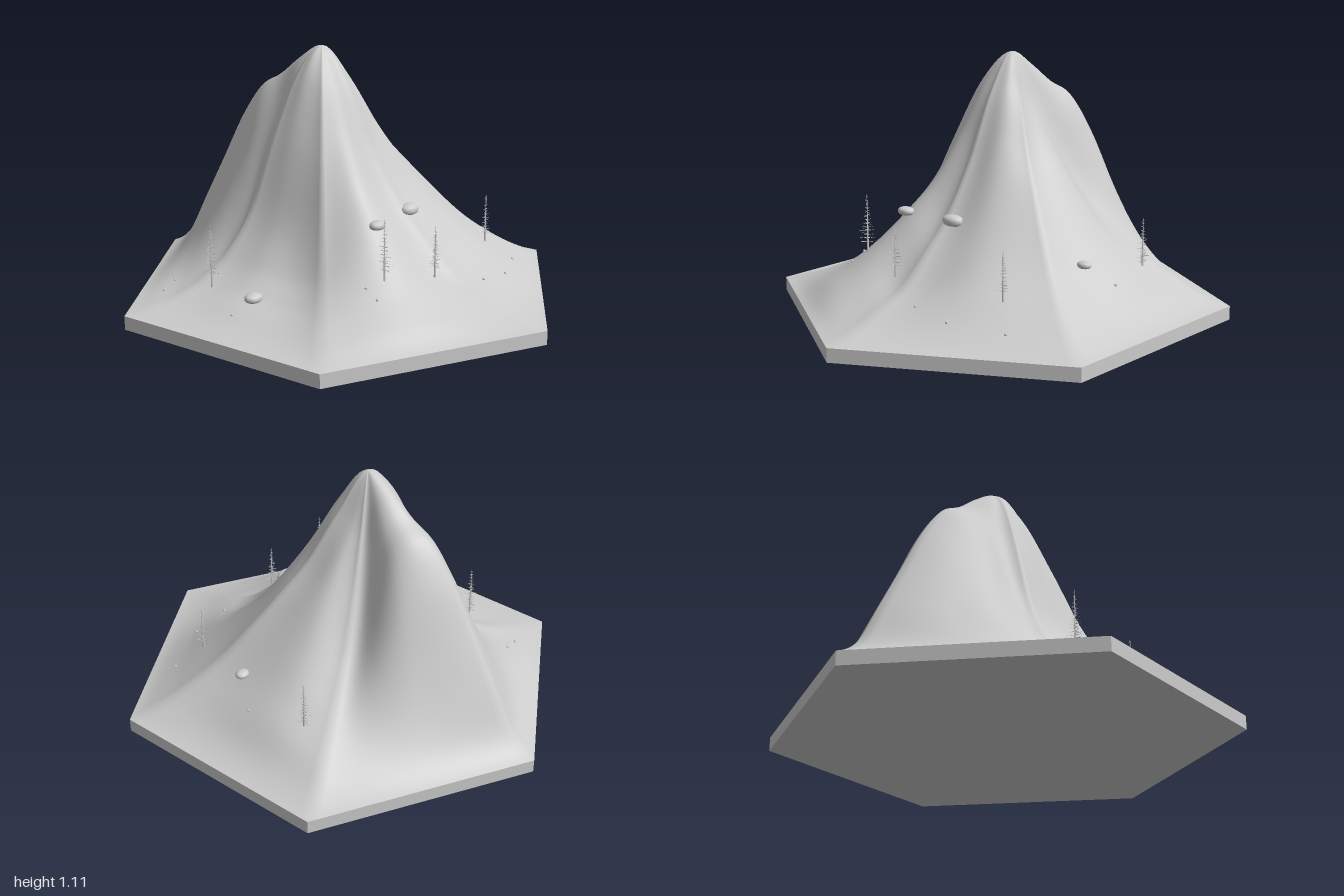
import * as THREE from 'three';
import { mergeGeometries } from 'three/addons/utils/BufferGeometryUtils.js';

const BASE = 0.06, PEAK = 1.11, CX = -0.02, CZ = -0.1;
const APOTHEM = Math.sqrt(3) / 2;

// Ridge profiles every 30 degrees around the summit, from +x towards +z,
// each going from the summit to the edge of the hexagon
const PROFILES = [
  [0.90, 0.73, 0.58, 0.44, 0.32, 0.22, 0.11],
  [0.92, 0.71, 0.56, 0.42, 0.29, 0.19, 0.11],
  [0.97, 0.76, 0.58, 0.43, 0.31, 0.21, 0.12],
  [0.95, 0.67, 0.46, 0.32, 0.20, 0.14, 0.09],
  [0.98, 0.76, 0.57, 0.44, 0.32, 0.22, 0.14],
  [0.99, 0.72, 0.42, 0.25, 0.17, 0.12, 0.08],
  [1.02, 0.76, 0.42, 0.25, 0.165, 0.12, 0.08],
  [1.00, 0.75, 0.45, 0.27, 0.17, 0.11, 0.08],
  [1.04, 0.88, 0.74, 0.55, 0.37, 0.22, 0.12],
  [1.05, 0.96, 0.89, 0.74, 0.54, 0.34, 0.14],
  [1.02, 0.92, 0.84, 0.68, 0.46, 0.27, 0.13],
  [0.88, 0.64, 0.46, 0.34, 0.25, 0.17, 0.10],
].map((p) => [PEAK, ...p, BASE]);

function cubic(a, b, c, d, t) {
  return b + 0.5 * t * (c - a + t * (2 * a - 5 * b + 4 * c - d + t * (3 * (b - c) + d - a)));
}

function profileAt(row, f) {
  const p = PROFILES[(row + 12) % 12], s = Math.min(f, 1) * 8;
  const i = Math.min(Math.floor(s), 7);
  return cubic(p[Math.abs(i - 1)], p[i], p[i + 1], p[Math.min(i + 2, 8)], s - i);
}

// Height for a direction and a fraction of the way to the edge
function heightPolar(angle, f) {
  const s = ((angle / (Math.PI / 6)) % 12 + 12) % 12, i = Math.floor(s);
  const h = [-1, 0, 1, 2].map((k) => profileAt(i + k, f));
  return Math.max(BASE, cubic(...h, s - i));
}

function edgeDistance(angle) {
  let r = Infinity;
  for (let k = 0; k < 6; k++) {
    const nx = Math.cos(k * Math.PI / 3), nz = Math.sin(k * Math.PI / 3);
    const dn = Math.cos(angle) * nx + Math.sin(angle) * nz;
    if (dn > 1e-6) r = Math.min(r, (APOTHEM - CX * nx - CZ * nz) / dn);
  }
  return r;
}

function heightAt(x, z) {
  const a = Math.atan2(z - CZ, x - CX);
  return heightPolar(a, Math.hypot(x - CX, z - CZ) / edgeDistance(a));
}

// Mountain surface: rings growing from the summit to the hexagon
function mountainGeometry() {
  const perSide = 20, n = perSide * 6, rings = 48;
  const pos = [CX, PEAK, CZ], index = [];
  for (let r = 1; r <= rings; r++) {
    for (let j = 0; j < n; j++) {
      const side = Math.floor(j / perSide), t = (j % perSide) / perSide;
      const a0 = (side * 60 + 30) * Math.PI / 180, a1 = a0 + Math.PI / 3;
      const ex = Math.cos(a0) * (1 - t) + Math.cos(a1) * t;
      const ez = Math.sin(a0) * (1 - t) + Math.sin(a1) * t;
      const f = r / rings, angle = Math.atan2(ez - CZ, ex - CX);
      pos.push(CX + (ex - CX) * f, heightPolar(angle, f), CZ + (ez - CZ) * f);
    }
  }
  for (let j = 0; j < n; j++) {
    const k = (j + 1) % n;
    index.push(0, 1 + k, 1 + j);
    for (let r = 0; r < rings - 1; r++) {
      const a = 1 + r * n, b = a + n;
      index.push(a + j, a + k, b + j, a + k, b + k, b + j);
    }
  }
  const g = new THREE.BufferGeometry();
  g.setAttribute('position', new THREE.Float32BufferAttribute(pos, 3));
  g.setIndex(index);
  g.computeVertexNormals();
  return g;
}

function seeded(seed) {
  return () => (seed = (seed * 16807) % 2147483647) / 2147483647;
}

// Sparse conifer: thin trunk with whorls of needle-thin branches
function treeGeometry(height, spread, seed) {
  const rnd = seeded(seed), parts = [];
  const trunk = new THREE.CylinderGeometry(0.0008, 0.005, height, 6);
  parts.push(trunk.translate(0, height / 2, 0));
  const whorls = 13;
  for (let w = 0; w < whorls; w++) {
    const t = w / (whorls - 1), y = height * (0.22 + 0.74 * t);
    for (let b = 0; b < 6; b++) {
      const len = spread * (1 - 0.85 * t) * (0.65 + 0.35 * rnd());
      const g = new THREE.ConeGeometry(0.0018, len, 3);
      g.translate(0, len / 2, 0).rotateZ(-Math.PI / 2 + 0.15 * (rnd() - 0.3));
      g.rotateY((b + rnd() * 0.7) * Math.PI / 3 + w);
      parts.push(g.translate(0, y + 0.008 * (rnd() - 0.5), 0));
    }
  }
  return mergeGeometries(parts);
}

// Boulder: sphere squashed into a rounded cushion with a flat underside
function boulderGeometry(w, h, d) {
  const g = new THREE.SphereGeometry(1, 24, 16), p = g.attributes.position;
  for (let i = 0; i < p.count; i++) {
    const y = p.getY(i), soft = Math.sign(y) * Math.pow(Math.abs(y), 0.8);
    p.setXYZ(i, p.getX(i) * w / 2, Math.max(soft, -0.75) * h / 2, p.getZ(i) * d / 2);
  }
  g.computeVertexNormals();
  return g;
}

export function createModel() {
  const model = new THREE.Group();
  const stone = new THREE.MeshStandardMaterial({ color: 0xcccccc });
  stone.name = 'pale grey';
  const add = (name, geometry, x = 0, y = 0, z = 0) => {
    const mesh = new THREE.Mesh(geometry, stone);
    mesh.name = name;
    mesh.position.set(x, y, z);
    model.add(mesh);
    return mesh;
  };

  // Hexagonal slab, with flat faces
  const slab = new THREE.CylinderGeometry(1, 1, BASE, 6).toNonIndexed();
  slab.computeVertexNormals();
  add('hexBase', slab, 0, BASE / 2, 0);
  add('mountain', mountainGeometry());

  // Trees: x, z, base y, height, branch length
  [
    [-0.36, 0.45, 0.25, 0.27, 0.048], [-0.105, 0.53, 0.24, 0.2, 0.04],
    [0.435, 0.46, 0.21, 0.22, 0.035], [0.585, -0.25, 0.2, 0.245, 0.042],
    [-0.565, -0.28, 0.15, 0.27, 0.046],
  ].forEach(([x, z, y, h, s], i) =>
    add('tree', treeGeometry(h, s, 71 + i * 37), x, Math.min(y, heightAt(x, z)), z)
      .scale.y = (y + h - Math.min(y, heightAt(x, z))) / h);

  // Boulders: x, y, z, width, height, depth
  [
    [0.025, 0.445, 0.32, 0.1, 0.05, 0.07], [-0.24, 0.445, 0.335, 0.08, 0.038, 0.06],
    [0.56, 0.313, 0.11, 0.062, 0.032, 0.052], [-0.617, 0.17, -0.015, 0.082, 0.04, 0.068],
  ].forEach(([x, y, z, w, h, d]) => add('boulder', boulderGeometry(w, h, d), x, y, z));

  // Pebbles scattered on the slopes
  const pebble = new THREE.SphereGeometry(0.006, 8, 6);
  [
    [-0.43, 0.41], [-0.44, 0.47], [0.12, 0.635], [0.3, 0.64], [0.53, 0.55],
    [0.64, 0.005], [-0.69, -0.07], [-0.61, -0.51], [-0.53, -0.52],
  ].forEach(([x, z]) => add('pebble', pebble, x, heightAt(x, z) + 0.002, z));

  return model;
}
